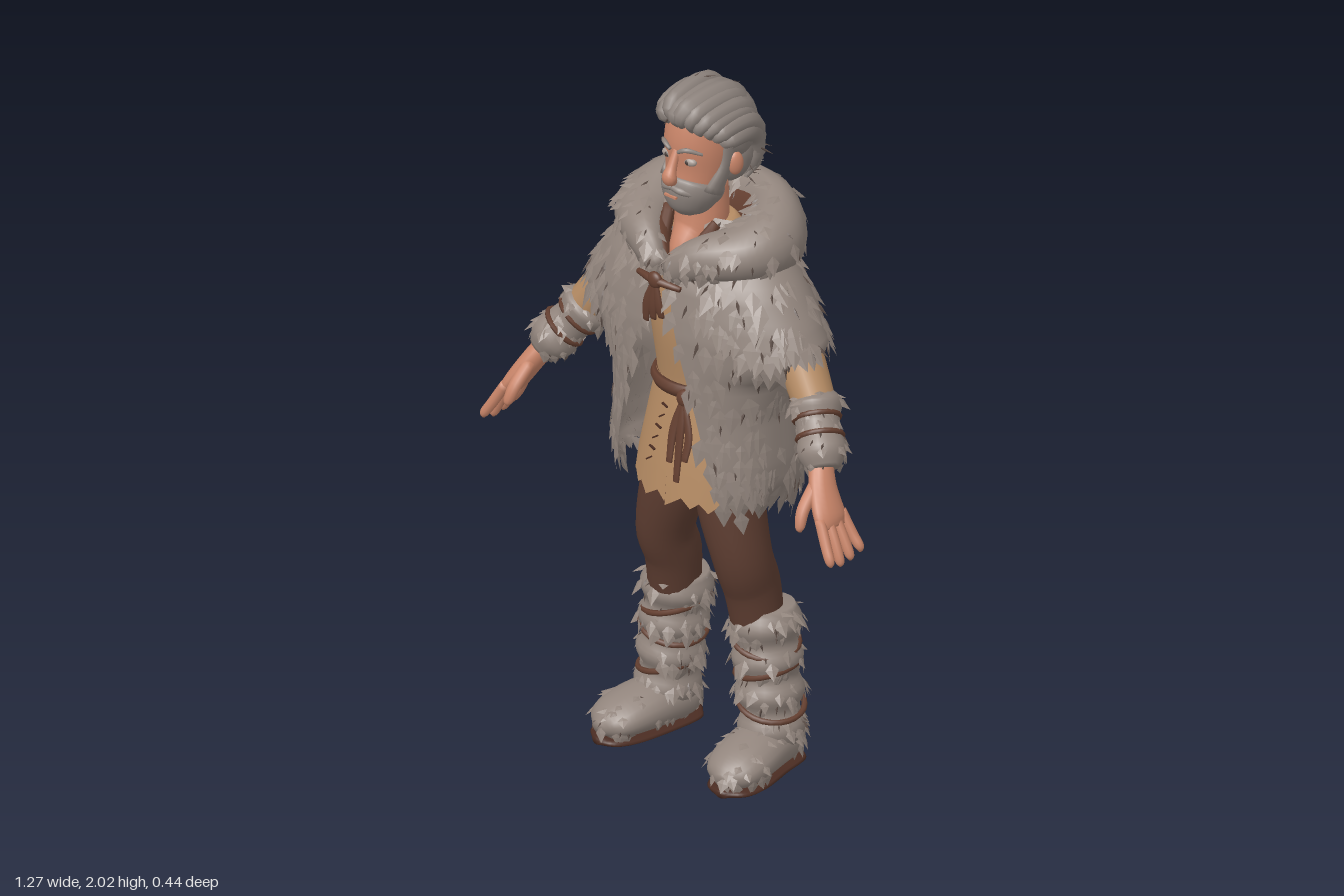
import * as THREE from 'three';

const mat = (name, color, side = THREE.FrontSide) => {
  const m = new THREE.MeshStandardMaterial({ color, side });
  m.name = name;
  return m;
};
const V = (x, y, z) => new THREE.Vector3(x, y, z);

export function createModel() {
  const model = new THREE.Group();
  model.name = 'furCloakedMan';
  const fur = mat('fur', 0x92857d, THREE.DoubleSide);
  const furShade = mat('furShade', 0x5c4d46, THREE.DoubleSide);
  const hair = mat('greyHair', 0x8c827c);
  const skin = mat('skin', 0xc98569);
  const cloth = mat('tunicCloth', 0xb68c64, THREE.DoubleSide);
  const trousers = mat('trouserBrown', 0x5c3c30);
  const leather = mat('leather', 0x643f30, THREE.DoubleSide);
  const sole = mat('soleBrown', 0x4a2c22);
  const white = mat('eyeGrey', 0xa89c94);
  const dark = mat('eyeDark', 0x4a3f3a);

  let seed = 7;
  const rnd = () => (seed = (seed * 16807) % 2147483647) / 2147483647;

  const add = (name, geo, material, parent = model) => {
    const m = new THREE.Mesh(geo, material);
    m.name = name;
    parent.add(m);
    return m;
  };
  const indexed = (pos, idx) => {
    const g = new THREE.BufferGeometry();
    g.setAttribute('position', new THREE.Float32BufferAttribute(pos, 3));
    if (idx) g.setIndex(idx);
    g.computeVertexNormals();
    return g;
  };

  // Elliptical sweep; each point is [x, y, z, across, alongRef]
  const sweep = (pts, ref, n = 16, per = 5) => {
    const path = new THREE.CatmullRomCurve3(pts.map(p => V(p[0], p[1], p[2])), false, 'catmullrom');
    const size = new THREE.CatmullRomCurve3(pts.map(p => V(p[3], p[4] ?? p[3], 0)), false, 'catmullrom');
    const steps = (pts.length - 1) * per, pos = [], idx = [];
    for (let i = 0; i <= steps; i++) {
      const c = path.getPoint(i / steps), r = size.getPoint(i / steps), T = path.getTangent(i / steps);
      const U = ref.clone().addScaledVector(T, -ref.dot(T)).normalize(), S = U.clone().cross(T);
      for (let j = 0; j < n; j++) {
        const a = j / n * Math.PI * 2;
        const p = c.clone().addScaledVector(S, Math.max(r.x, 0.002) * Math.cos(a))
          .addScaledVector(U, Math.max(r.y, 0.002) * Math.sin(a));
        pos.push(p.x, p.y, p.z);
        if (i < steps) {
          const k = (j + 1) % n, o = i * n, q = o + n;
          idx.push(o + j, o + k, q + j, o + k, q + k, q + j);
        }
      }
    }
    const c0 = pos.length / 3, last = steps * n;
    pos.push(...pts[0].slice(0, 3), ...pts[pts.length - 1].slice(0, 3));
    for (let j = 0; j < n; j++) {
      const k = (j + 1) % n;
      idx.push(c0, k, j, c0 + 1, last + j, last + k);
    }
    return indexed(pos, idx);
  };
  const X = V(1, 0, 0), Y = V(0, 1, 0), Z = V(0, 0, 1), DOWN = V(0, -1, 0);

  // Open sheet from a rule f(u, v) -> [x, y, z]
  const sheet = (f, nu, nv) => {
    const pos = [], idx = [];
    for (let i = 0; i <= nv; i++) for (let j = 0; j <= nu; j++) {
      pos.push(...f(j / nu, i / nv, j));
      if (i < nv && j < nu) {
        const a = i * (nu + 1) + j, b = a + nu + 1;
        idx.push(a, b, a + 1, a + 1, b, b + 1);
      }
    }
    return indexed(pos, idx);
  };

  // Pointed tufts scattered over a surface, lying along the flow direction
  const tufts = (geo, count, len, width, lift, flow = DOWN) => {
    const p = geo.attributes.position, nrm = geo.attributes.normal, ix = geo.index.array, pos = [];
    for (let k = 0; k < count; k++) {
      const t = Math.floor(rnd() * ix.length / 3) * 3;
      let u = rnd(), v = rnd();
      if (u + v > 1) { u = 1 - u; v = 1 - v; }
      const w = [1 - u - v, u, v], c = V(0, 0, 0), N = V(0, 0, 0);
      for (let m = 0; m < 3; m++) {
        c.addScaledVector(V(0, 0, 0).fromBufferAttribute(p, ix[t + m]), w[m]);
        N.addScaledVector(V(0, 0, 0).fromBufferAttribute(nrm, ix[t + m]), w[m]);
      }
      N.normalize();
      const F = flow.clone().add(V(rnd() - 0.5, 0, rnd() - 0.5).multiplyScalar(0.6));
      F.addScaledVector(N, -F.dot(N)).normalize();
      const S = N.clone().cross(F), s = 0.7 + rnd() * 0.6;
      const at = (f, x, h) => c.clone().addScaledVector(F, f * len * s).addScaledVector(S, x * width * s).addScaledVector(N, h * lift).toArray();
      const R = at(0, 0, -0.1), A = at(0.4, -1, 0), B = at(0.4, 1, 0), M = at(0.4, 0, 0.6), E = at(1, 0, 1);
      pos.push(...R, ...A, ...M, ...R, ...M, ...B, ...A, ...E, ...M, ...M, ...E, ...B);
    }
    return indexed(pos);
  };
  const furry = (name, geo, count, len, width, lift, parent = model) => {
    add(name, geo, fur, parent);
    add(name + 'Tufts', tufts(geo, count, len, width, lift), fur, parent);
    add(name + 'DarkTufts', tufts(geo, count * 0.3, len * 0.6, width * 0.22, lift * 1.2), furShade, parent);
  };
  const ball = (name, x, y, z, rx, ry, rz, m, parent = model) => {
    const b = add(name, new THREE.SphereGeometry(1, 20, 14), m, parent);
    b.position.set(x, y, z);
    b.scale.set(rx, ry, rz);
    return b;
  };
  const ring = (name, c, axis, r, parent) => {
    const t = add(name, new THREE.TorusGeometry(r, 0.008, 6, 24), leather, parent);
    t.position.set(...c);
    t.quaternion.setFromUnitVectors(Z, axis.normalize());
  };

  // Tunic body, skirt with ragged hem, and belt
  add('tunic', sweep([[0, 1, 0.01, 0.14, 0.11], [0, 1.12, 0.01, 0.14, 0.112], [0, 1.3, 0.01, 0.16, 0.135],
    [0, 1.45, 0, 0.18, 0.13], [0, 1.55, -0.01, 0.13, 0.09], [0, 1.6, -0.01, 0.07, 0.05]], Z, 28), cloth);
  add('tunicSkirt', sheet((u, v, j) => {
    const a = u * Math.PI * 2, c = Math.cos(a);
    const jag = v === 1 ? ((j * 7) % 5) * 0.009 - 0.02 - 0.025 * Math.max(0, c) : 0;
    return [Math.sin(a) * (0.143 + 0.065 * v), 1.13 - 0.3 * v + jag, 0.01 + c * (0.115 + 0.045 * v)];
  }, 48, 6), cloth);
  const belt = add('belt', new THREE.TorusGeometry(1, 0.1, 6, 40), leather);
  belt.position.set(0, 1.115, 0.01);
  belt.rotation.set(Math.PI / 2, 0.05, 0);
  belt.scale.set(0.145, 0.12, 0.2);
  ball('beltKnot', 0.05, 1.11, 0.145, 0.026, 0.026, 0.018, leather);
  [[0.03, 0.93], [0.055, 0.88], [0.085, 0.95]].forEach(([x, y]) => add('beltTail',
    sweep([[0.05, 1.11, 0.15, 0.01, 0.006], [x, 1.02, 0.168, 0.014, 0.006], [x, y, 0.185, 0.011, 0.005]], Z, 8), leather));
  for (let i = 0; i < 6; i++) {
    const s = add('tunicStitch', new THREE.BoxGeometry(0.02, 0.004, 0.006), sole);
    s.position.set(-0.03 - i * 0.007, 1.06 - i * 0.032, 0.137 + i * 0.0048);
    s.rotation.z = i % 2 ? 0.6 : -0.4;
  }

  // Neck and open chest
  add('neck', sweep([[0, 1.45, 0.105, 0.012, 0.03], [0, 1.51, 0.08, 0.045, 0.062], [0, 1.58, 0.03, 0.072, 0.072],
    [0, 1.72, 0.02, 0.065, 0.065]], Z), skin);

  // Cloak rows: [y, half width, front z, back z, half opening, squareness]
  const rows = [[1.62, 0.16, 0.06, -0.13, 0.07, 1], [1.55, 0.24, 0.13, -0.16, 0.05, 1], [1.46, 0.315, 0.18, -0.18, 0.03, 1],
    [1.38, 0.37, 0.195, -0.19, 0.045, 1], [1.32, 0.4, 0.202, -0.195, 0.065, 1], [1.265, 0.375, 0.203, -0.2, 0.08, 1],
    [1.2, 0.285, 0.203, -0.203, 0.1, 0.85], [1.1, 0.262, 0.2, -0.203, 0.125, 0.8], [0.95, 0.268, 0.195, -0.198, 0.16, 0.75],
    [0.87, 0.264, 0.188, -0.188, 0.18, 0.75], [0.81, 0.245, 0.178, -0.168, 0.19, 0.75]];
  const cloak = sheet((u, v, j) => {
    const f = v * (rows.length - 1), i = Math.min(Math.floor(f), rows.length - 2);
    const [y, rx, zf, zb, open, e] = rows[i].map((a, k) => THREE.MathUtils.lerp(a, rows[i + 1][k], f - i));
    const a0 = Math.asin((open / rx) ** (1 / e)), a = a0 + u * (Math.PI * 2 - 2 * a0);
    const s = Math.sin(a), c = Math.cos(a), w = Math.max(0, (v - 0.7) / 0.3);
    const jag = v === 1 ? ((j * 5) % 4) * 0.012 - 0.02 : 0;
    return [rx * Math.sign(s) * Math.abs(s) ** e, y + w * w * (0.03 * Math.abs(s) - 0.07 * Math.max(0, -c)) + jag,
      (zf + zb) / 2 + (zf - zb) / 2 * Math.sign(c) * Math.abs(c) ** e];
  }, 88, 40);
  furry('cloak', cloak, 620, 0.07, 0.02, 0.006);

  // Lowered hood, high behind the neck and sloping to the tie, with lining
  const half = [[0.02, 1.485, 0.175, 0.02, 0.03], [0.09, 1.535, 0.14, 0.05, 0.06], [0.17, 1.555, 0.06, 0.085, 0.075],
    [0.193, 1.565, -0.03, 0.09, 0.1], [0.135, 1.555, -0.11, 0.078, 0.142]];
  const hoodPath = [...half, [0, 1.525, -0.142, 0.076, 0.17], ...half.slice().reverse().map(([x, ...r]) => [-x, ...r])];
  furry('hood', sweep(hoodPath, Y, 18, 6), 260, 0.05, 0.016, 0.005);
  add('hoodLining', sweep(hoodPath.map(([x, y, z, a, b]) => [x * 0.88, y, z * 0.86, a * 0.85, b * 0.82]), Y, 14), leather);

  // Cloak tie
  add('tieBar', sweep([[-0.075, 1.465, 0.19, 0.008], [0, 1.47, 0.208, 0.012], [0.075, 1.46, 0.19, 0.008]], Y, 8), leather);
  ball('tieKnot', 0, 1.47, 0.207, 0.024, 0.024, 0.014, leather);
  [-0.035, -0.008, 0.022].forEach((x, i) => add('tieTail',
    sweep([[0, 1.47, 0.207, 0.009, 0.006], [x * 0.7, 1.4, 0.21, 0.015, 0.006], [x, 1.34 + 0.012 * i, 0.205, 0.011, 0.005]], Z, 8), leather));

  for (const s of [1, -1]) {
    const side = s > 0 ? 'left' : 'right', g = new THREE.Group();
    g.name = side + 'Limbs';
    model.add(g);
    const m = pts => pts.map(([x, ...r]) => [s * x, ...r]);
    add('collarTrim', sweep(m([[0.085, 1.61, 0.06, 0.016], [0.05, 1.53, 0.125, 0.016], [0, 1.44, 0.15, 0.012]]), X, 8), leather, g);

    // Arm: sleeve, fur wrap with straps, hand
    add('sleeve', sweep(m([[0.16, 1.5, -0.01, 0.07], [0.3, 1.33, 0.0, 0.068], [0.43, 1.16, 0.035, 0.055]]), Z), cloth, g);
    furry('armWrap', sweep(m([[0.395, 1.205, 0.018, 0.05], [0.412, 1.178, 0.028, 0.073], [0.437, 1.143, 0.046, 0.06],
      [0.46, 1.115, 0.062, 0.06], [0.485, 1.08, 0.08, 0.067], [0.507, 1.045, 0.095, 0.045]]), Z), 60, 0.036, 0.014, 0.006, g);
    [[0.432, 1.15, 0.043], [0.462, 1.112, 0.063]].forEach(([x, y, z]) =>
      ring('wrapStrap', [s * x, y, z], V(s * 0.09, -0.12, 0.07), 0.06, g));
    add('palm', sweep(m([[0.485, 1.08, 0.085, 0.03, 0.032], [0.525, 1.01, 0.12, 0.03, 0.042], [0.565, 0.945, 0.137, 0.026, 0.052],
      [0.58, 0.915, 0.138, 0.016, 0.047]]), Z), skin, g);
    for (let i = 0; i < 4; i++) {
      const d = -0.041 + 0.027 * i, tip = 0.82 + Math.abs(i - 1.7) * 0.011;
      add('finger', sweep(m([[0.568, 0.945, 0.137 + d, 0.015], [0.602, 0.885, 0.14 + d * 1.25, 0.015],
        [0.624, tip + 0.015, 0.142 + d * 1.4, 0.013], [0.628, tip, 0.142 + d * 1.4, 0.004]]), Z, 10), skin, g);
    }
    add('thumb', sweep(m([[0.515, 1.015, 0.14, 0.019], [0.52, 0.965, 0.19, 0.018], [0.527, 0.925, 0.21, 0.014],
      [0.53, 0.91, 0.213, 0.004]]), X, 10), skin, g);

    // Leg, boot and foot
    add('trouserLeg', sweep(m([[0.08, 0.97, 0, 0.085, 0.095], [0.096, 0.8, 0.02, 0.092, 0.095], [0.138, 0.63, 0.018, 0.077, 0.084],
      [0.142, 0.53, -0.015, 0.071, 0.082], [0.15, 0.42, -0.03, 0.068, 0.075]]), Z, 20), trousers, g);
    const shaft = [];
    for (let i = 0; i <= 8; i++) {
      const t = i / 8, r = i === 0 ? 0.08 : (i % 2 ? 0.1 : 0.084) - 0.01 * t;
      shaft.push([0.155 + 0.037 * t, 0.465 - 0.39 * t, -0.05 + 0.008 * t, r, r * 1.02]);
    }
    furry('bootShaft', sweep(m(shaft), Z, 20, 4), 150, 0.045, 0.016, 0.007, g);
    furry('bootFoot', sweep(m([[0.175, 0.06, -0.135, 0.02, 0.03], [0.18, 0.07, -0.1, 0.07, 0.058], [0.19, 0.075, -0.01, 0.084, 0.068],
      [0.208, 0.068, 0.09, 0.088, 0.058], [0.218, 0.055, 0.155, 0.07, 0.042], [0.224, 0.045, 0.19, 0.02, 0.018]]), Y, 18),
      70, 0.035, 0.014, 0.005, g);
    add('bootSole', sweep(m([[0.175, 0.012, -0.138, 0.03, 0.012], [0.18, 0.012, -0.1, 0.07, 0.012], [0.19, 0.012, -0.01, 0.078, 0.012],
      [0.21, 0.012, 0.1, 0.082, 0.012], [0.22, 0.012, 0.165, 0.062, 0.012], [0.226, 0.012, 0.195, 0.015, 0.01]]), Y, 16), sole, g);
    [[0.163, 0.365, 0.25], [0.17, 0.29, -0.25], [0.182, 0.185, 0.25]].forEach(([x, y, t]) =>
      ring('bootStrap', [s * x, y, -0.047], V(t * s, 1, 0.1), 0.089, g));
  }

  // Head
  const head = new THREE.Group();
  head.name = 'head';
  head.position.x = 0.01;
  model.add(head);
  add('face', sweep([[0, 1.64, 0.08, 0.03, 0.035], [0, 1.68, 0.07, 0.066, 0.075], [0, 1.76, 0.05, 0.086, 0.09],
    [0, 1.84, 0.035, 0.095, 0.108], [0, 1.92, 0.02, 0.085, 0.1], [0, 1.965, 0.02, 0.04, 0.05]], Z, 24), skin, head);
  add('nose', sweep([[0, 1.84, 0.13, 0.01], [0, 1.79, 0.152, 0.014], [0, 1.76, 0.162, 0.021, 0.02], [0, 1.742, 0.145, 0.012]], Z, 12), skin, head);
  add('beard', sweep([[0, 1.632, 0.1, 0.02, 0.025], [0, 1.65, 0.094, 0.052, 0.056], [0, 1.69, 0.08, 0.08, 0.082],
    [0, 1.715, 0.068, 0.086, 0.086], [0, 1.728, 0.062, 0.078, 0.074]], Z, 24), hair, head);
  const mouth = add('mouth', new THREE.BoxGeometry(0.042, 0.006, 0.008), skin, head);
  mouth.position.set(0, 1.704, 0.157);
  for (const s of [1, -1]) {
    add('moustache', sweep([[0, 1.728, 0.15, 0.009], [s * 0.03, 1.722, 0.146, 0.01], [s * 0.06, 1.71, 0.122, 0.005]], Y, 8), hair, head);
    add('sideburn', sweep([[s * 0.093, 1.85, 0.025, 0.012, 0.028], [s * 0.088, 1.78, 0.04, 0.012, 0.024],
      [s * 0.076, 1.71, 0.075, 0.015, 0.04]], Z, 10), hair, head);
    ball('eye', s * 0.038, 1.808, 0.123, 0.022, 0.013, 0.013, white, head);
    ball('iris', s * 0.037, 1.807, 0.132, 0.007, 0.008, 0.006, dark, head);
    add('eyebrow', sweep([[s * 0.014, 1.835, 0.145, 0.005], [s * 0.04, 1.846, 0.138, 0.007], [s * 0.072, 1.834, 0.11, 0.004]], Y, 8), hair, head);
    ball('ear', s * 0.102, 1.785, 0.015, 0.014, 0.034, 0.022, skin, head).rotation.y = -s * 0.4;
  }

  // Swept-back hair in uneven, overlapping locks
  ball('hairCap', 0, 1.868, -0.015, 0.122, 0.115, 0.108, hair, head);
  ball('hairBack', 0, 1.79, -0.045, 0.094, 0.11, 0.07, hair, head);
  for (let i = 0; i <= 12; i++) {
    const a = (i / 6 - 1) * 1.4, x = Math.sin(a), c = Math.cos(a), k = (rnd() - 0.5) * 0.02, d = (rnd() - 0.5) * 0.06;
    const r = 0.022 + rnd() * 0.01;
    const lock = sweep([[x * 0.09 - d * 0.4, 1.84 + 0.06 * c, 0.03 + 0.095 * c, 0.008],
      [x * 0.106, 1.85 + (0.104 + k) * c, 0.03 + 0.1 * c, r], [x * 0.11 + d * 0.3, 1.85 + (0.114 + k) * c, -0.02, r + 0.004],
      [x * 0.092 + d * 0.6, 1.82 + 0.05 * c, -0.085 - k, r + 0.005], [x * 0.078 + d * 0.5, 1.75, -0.085 + k, r],
      [x * 0.065, 1.69 + 0.02 * rnd(), -0.065, 0.005]], X.clone().applyAxisAngle(Z, -a), 10);
    add('hairLock', lock, hair, head);
    add('hairStrands', tufts(lock, 5, 0.045, 0.003, 0.003, V(0, -0.4, -1)), furShade, head);
  }
  return model;
}
